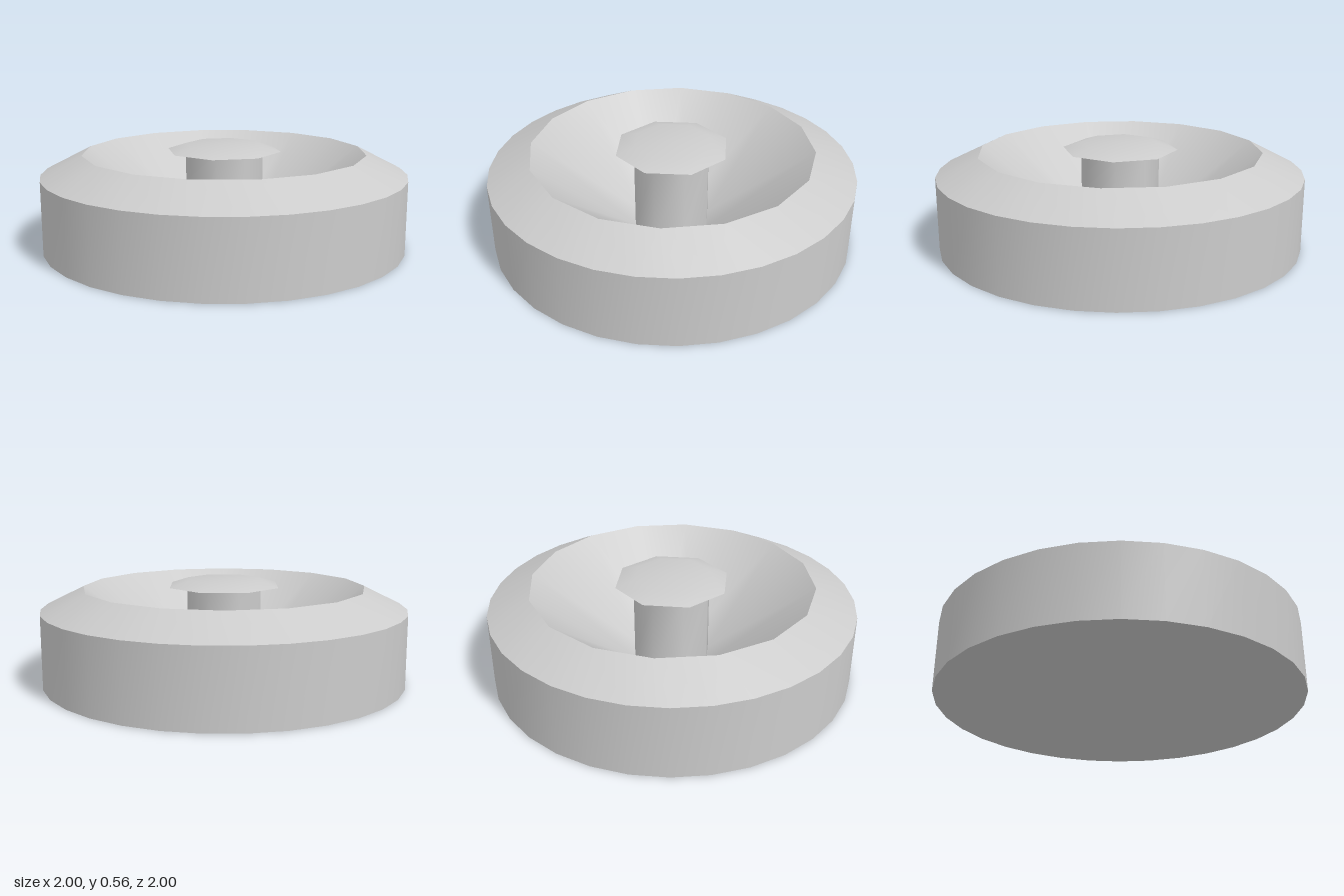
import * as THREE from 'three';

// A ring of corners: radius, height, number of sides, turn in degrees
const ring = (r, y, n, turn = 0) => ({ r, y, n, turn });

// Skin through rings of differing side counts; smooth inside one skin, sharp between skins
function skin(name, rings, material) {
  const pos = [], index = [], starts = [];
  for (const { r, y, n, turn } of rings) {
    starts.push(pos.length / 3);
    for (let i = 0; i < n; i++) {
      const a = THREE.MathUtils.degToRad(turn + (i * 360) / n);
      pos.push(r * Math.cos(a), y, r * Math.sin(a));
    }
  }
  for (let k = 0; k + 1 < rings.length; k++) {
    const A = rings[k], B = rings[k + 1];
    const a = (i) => starts[k] + (i % A.n);
    const b = (j) => starts[k + 1] + (j % B.n);
    const mid = (R, i) => R.turn + ((i + 0.5) * 360) / R.n;
    const endA = A.n === 1 ? 0 : A.n, endB = B.n === 1 ? 0 : B.n;
    let i = 0, j = 0;
    while (i < endA || j < endB) {
      if (j >= endB || (i < endA && mid(A, i) <= mid(B, j))) {
        index.push(a(i), b(j), a(i + 1));
        i++;
      } else {
        index.push(a(i), b(j), b(j + 1));
        j++;
      }
    }
  }
  const geometry = new THREE.BufferGeometry();
  geometry.setAttribute('position', new THREE.Float32BufferAttribute(pos, 3));
  geometry.setIndex(index);
  geometry.computeVertexNormals();
  const mesh = new THREE.Mesh(geometry, material);
  mesh.name = name;
  return mesh;
}

export function createModel() {
  const group = new THREE.Group();
  group.name = 'dishWithKnob';
  const grey = new THREE.MeshStandardMaterial({ color: 0xcccccc });

  // Body rings
  const foot = ring(1, 0, 32);
  const shoulder = ring(1, 0.4, 32);
  const rim = ring(0.775, 0.515, 16, -5.63);

  // Post and knob rings, eight-sided
  const turn = 16.87;
  const postFoot = ring(0.215, 0.06, 8, turn);
  const postTop = ring(0.215, 0.518, 8, turn);
  const knobEdge = ring(0.315, 0.52, 8, turn);
  const knobTop = ring(0.213, 0.553, 8, turn);

  group.add(
    skin('base', [ring(0, 0, 1), foot], grey),
    skin('outerWall', [foot, shoulder], grey),
    skin('slopedRim', [shoulder, rim], grey),
    skin('bowl', [rim, postFoot], grey),
    skin('post', [postFoot, postTop], grey),
    skin('knobUnderside', [postTop, knobEdge], grey),
    skin('knobTop', [knobEdge, knobTop, ring(0, 0.555, 1)], grey),
  );
  return group;
}
